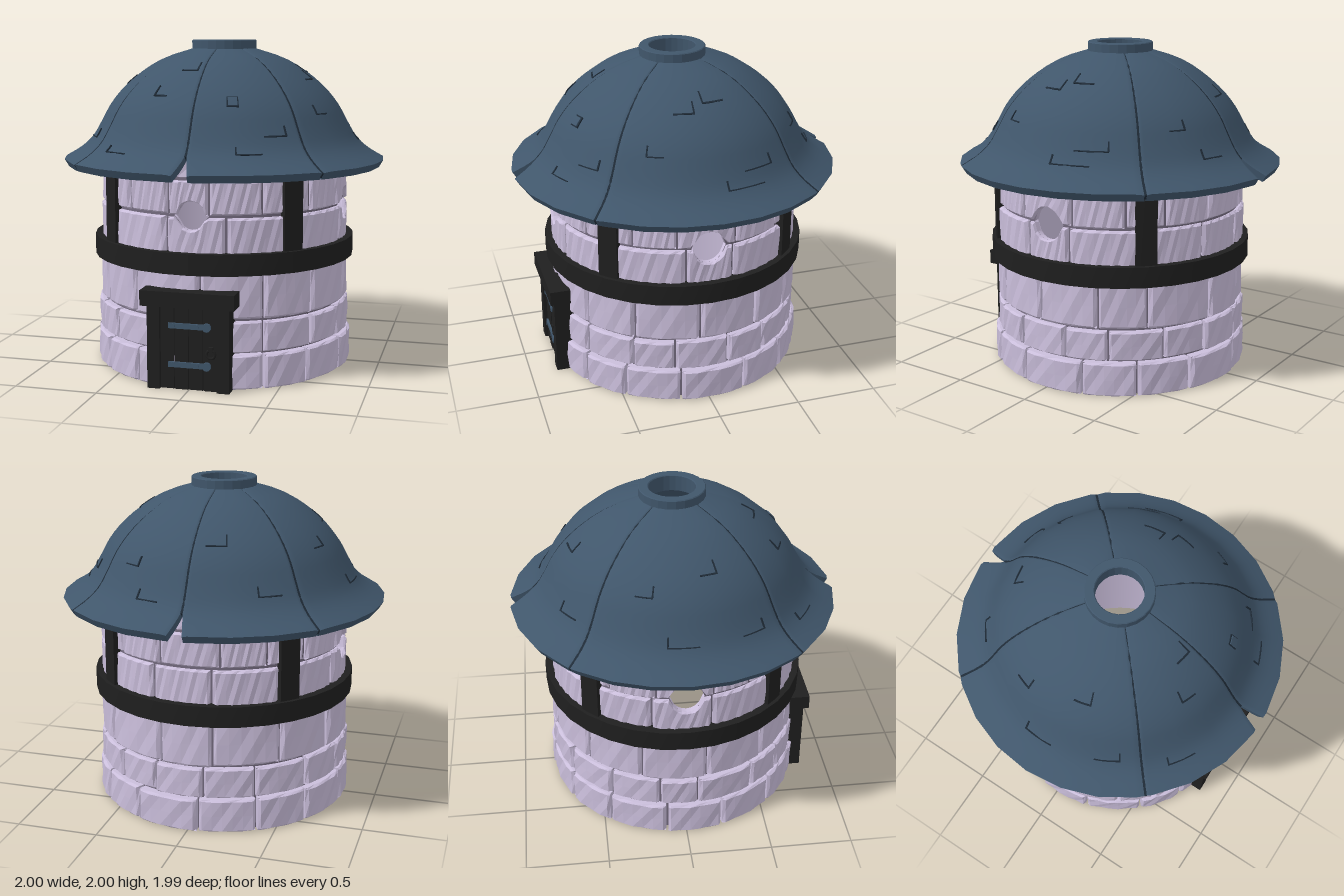
import * as THREE from 'three';

const mat = (name, color) => {
  const m = new THREE.MeshStandardMaterial({ color });
  m.name = name;
  return m;
};
const STONE = mat('lilac stone', 0xcabedb);
const MORTAR = mat('shaded mortar', 0x756c80);
const SLATE = mat('slate blue', 0x40566b);
const CRACK = mat('dark slate', 0x1f2b37);
const BLACK = mat('black timber', 0x1f1f1f);

let seed = 7;
const rnd = () => (seed = (seed * 16807) % 2147483647) / 2147483647;
const rad = THREE.MathUtils.degToRad;

// A box whose width runs round the y axis: map(u, v, w, edge, i, j) gives [angle, y, radius]
function bent(name, material, nx, ny, map, { inset = 0, flat = false } = {}) {
  let g = new THREE.BoxGeometry(1, 1, 1, nx, ny, 1);
  const p = g.attributes.position;
  const spread = (i, n) => (i === 0 ? 0 : i === n ? 1 : !inset ? i / n : inset + ((1 - 2 * inset) * (i - 1)) / (n - 2));
  for (let k = 0; k < p.count; k++) {
    const i = Math.round((p.getX(k) + 0.5) * nx), j = Math.round((p.getY(k) + 0.5) * ny);
    const edge = i === 0 || j === 0 || i === nx || j === ny;
    const [a, y, r] = map(spread(i, nx), spread(j, ny), p.getZ(k) + 0.5, edge, i, j);
    p.setXYZ(k, r * Math.sin(a), y, r * Math.cos(a));
  }
  if (flat) {
    const groups = g.groups;
    g = g.toNonIndexed();
    g.groups = groups;
  }
  g.computeVertexNormals();
  const m = new THREE.Mesh(g, material);
  m.name = name;
  return m;
}

function mesh(name, geometry, material, x = 0, y = 0, z = 0) {
  const m = new THREE.Mesh(geometry, material);
  m.name = name;
  m.position.set(x, y, z);
  return m;
}
const box = (name, w, h, d, material, x, y, z) => mesh(name, new THREE.BoxGeometry(w, h, d), material, x, y, z);

// Round windows at the front and both sides, centred on a brick joint
const WINDOW_Y = 1.01;
const windows = [[0, 0.085], [Math.PI / 2, 0.1], [-Math.PI / 2, 0.1]];
function opening(a) {
  let h = 0;
  for (const [wa, wr] of windows) {
    const dx = Math.atan2(Math.sin(a - wa), Math.cos(a - wa)) * 0.77;
    if (Math.abs(dx) < wr) h = Math.sqrt(wr * wr - dx * dx);
  }
  return h;
}

function createWall() {
  const wall = new THREE.Group();
  wall.name = 'wall';
  // Hollow core, split at window height
  const core = (name, lo, hi, mats) => wall.add(bent(name, mats, 180, 1,
    (u, v, w) => {
      const a = u * Math.PI * 2;
      return [a, v ? hi(a) : lo(a), w ? 0.745 : 0.72];
    }));
  core('lowerCore', () => 0, a => WINDOW_Y - opening(a), [MORTAR, MORTAR, STONE, SLATE, MORTAR, STONE]);
  core('upperCore', a => WINDOW_Y + opening(a), () => 1.36, [MORTAR, MORTAR, STONE, STONE, MORTAR, STONE]);

  // Brick courses: bottom, top, radius, bricks per ring, offset in bricks
  const courses = [
    [0, 0.21, 0.8, 14, 0.1], [0.21, 0.405, 0.785, 16, 0.35], [0.405, 0.69, 0.778, 13, 0],
    [0.76, WINDOW_Y, 0.77, 12, 0.5], [WINDOW_Y, 1.22, 0.765, 16, 0.5], [1.22, 1.36, 0.755, 14, 0.2],
  ];
  courses.forEach(([y0, y1, radius, n, offset], row) => {
    const joints = [];
    for (let i = 0; i < n; i++) joints.push(((i + offset + (rnd() - 0.5) * 0.3) / n) * Math.PI * 2);
    joints.push(joints[0] + Math.PI * 2);
    const mats = [STONE, STONE, STONE, row === 0 ? SLATE : STONE, STONE, STONE];
    for (let b = 0; b < n; b++) {
      const gap = 0.009, a0 = joints[b] + gap, a1 = joints[b + 1] - gap;
      const size = radius + (rnd() - 0.5) * 0.012, tilt = (rnd() - 0.5) * 0.012, phase = rnd() * 6;
      const lo = row ? y0 + 0.004 + rnd() * 0.006 : 0, hi = y1 - 0.004 - rnd() * 0.006;
      wall.add(bent('brick', mats, row === 3 || row === 4 ? 14 : 7, 4, (u, v, w, edge, i, j) => {
        const a = a0 + (a1 - a0) * u, cut = opening(a);
        const bottom = row === 4 && cut ? y0 + cut : lo;
        const top = row === 3 && cut ? y1 - cut : hi;
        const chip = 0.004 * Math.sin(i * 2.3 + j * 3.7 + phase);
        const r = w ? size + tilt * (v - 0.5) + chip - (edge ? 0.014 : 0) : 0.725;
        return [a, bottom + (top - bottom) * v, r];
      }, { inset: 0.05, flat: true }));
    }
  });
  // Dark panel on the inside of the back wall
  wall.add(mesh('innerPanel', new THREE.CircleGeometry(0.11, 16), BLACK, 0, WINDOW_Y, -0.705));
  return wall;
}

// Roof outline from the lip to the crown
const roofCurve = new THREE.CatmullRomCurve3([
  [1, 1.275], [0.9, 1.335], [0.83, 1.4], [0.77, 1.5], [0.715, 1.6], [0.635, 1.7], [0.52, 1.8], [0.38, 1.885], [0.17, 1.955],
].map(([r, y]) => new THREE.Vector3(r, y, 0)));

// Point on the roof, lifted out from its surface
function roofPoint(v, lift) {
  const p = roofCurve.getPoint(v), t = roofCurve.getTangent(v);
  return [p.x + t.y * lift, p.y - t.x * lift];
}

function createRoof() {
  const roof = new THREE.Group();
  roof.name = 'roof';
  const seams = [0, 48, 132, 180, 228, 312, 360];
  for (let s = 0; s < 6; s++) {
    const d0 = seams[s], d1 = seams[s + 1];
    // Notch at the front and back: the lip narrows next to those seams
    const notch = (deg, v) => (deg % 180 === 0 ? 0.042 * Math.max(0, 1 - v / 0.2) : 0) + 0.004;
    roof.add(bent('roofPanel', SLATE, d1 - d0 > 60 ? 8 : 5, 20, (u, v, w, edge, i) => {
      const a0 = rad(d0) + notch(d0, v), a1 = rad(d1) - notch(d1, v);
      const side = u === 0 || u === 1;
      const [r, y] = roofPoint(v, w ? (side ? -0.008 : 0) : -0.052);
      return [a0 + (a1 - a0) * u, y, r];
    }, { inset: 0.035 }));
    // Dark strip at the bottom of each seam
    const start = d0 % 180 === 0 ? 0.19 : 0;
    roof.add(bent('roofSeam', CRACK, 1, 18, (u, v, w) => {
      const [r, y] = roofPoint(start + (1 - start) * v, w ? -0.007 : -0.04);
      return [rad(d0) + ((u - 0.5) * 0.014) / r, y, r];
    }));
  }
  // Plates that follow the roof: angle, height along curve, width, length
  const plate = (name, material, deg, v0, width, dv, lift) => roof.add(bent(name, material, 4, 3, (u, v, w) => {
    const [r, y] = roofPoint(v0 + dv * v, w ? lift : -0.006);
    const mid = roofPoint(v0, 0)[0];
    return [rad(deg) + ((u - 0.5) * width) / mid, y, r];
  }));
  const cracks = [
    [-32, 0.17, 0.17], [-62, 0.27, 0.15], [-20, 0.6, 0.09], [-10, 0.78, 0.1], [24, 0.2, 0.15], [36, 0.33, 0.14],
    [66, 0.46, 0.1], [80, 0.7, 0.12], [104, 0.23, 0.24], [112, 0.33, 0.2], [100, 0.75, 0.13], [150, 0.45, 0.1],
    [164, 0.25, 0.14], [192, 0.62, 0.12], [215, 0.3, 0.14], [250, 0.55, 0.1], [268, 0.26, 0.18], [283, 0.66, 0.1],
  ];
  cracks.forEach(([deg, v, width], i) => {
    plate('roofCrack', CRACK, deg, v, width, 0.008, 0.003);
    const end = ((i % 2 ? 1 : -1) * width) / 2 / roofPoint(v, 0)[0];
    plate('roofCrack', CRACK, deg + THREE.MathUtils.radToDeg(end), v, 0.009, 0.07, 0.003);
  });
  plate('looseTileEdge', CRACK, 18.5, 0.535, 0.07, 0.068, 0.003);
  plate('looseTile', SLATE, 18.5, 0.543, 0.054, 0.052, 0.009);

  // Open ring on the crown
  const ring = [[0.14, 1.9], [0.2, 1.92], [0.2, 1.995], [0.195, 2], [0.145, 2], [0.14, 1.995], [0.14, 1.9]];
  const ringGeometry = new THREE.LatheGeometry(ring.map(([r, y]) => new THREE.Vector2(r, y)), 24).toNonIndexed();
  ringGeometry.computeVertexNormals();
  roof.add(mesh('crownRing', ringGeometry, SLATE));
  return roof;
}

function createTimber() {
  const timber = new THREE.Group();
  timber.name = 'timber';
  timber.add(bent('band', BLACK, 32, 1, (u, v, w) => [u * Math.PI * 2, 0.675 + 0.125 * v, w ? 0.815 : 0.735]));
  for (const deg of [45, 135, 225, 315]) {
    timber.add(bent('wallPost', BLACK, 2, 1,
      (u, v, w) => [rad(deg) + (u - 0.5) * 0.16, 0.78 + 0.54 * v, w ? 0.792 : 0.735]));
  }
  return timber;
}

function createDoor() {
  const door = new THREE.Group();
  door.name = 'door';
  door.add(box('lintel', 0.56, 0.09, 0.125, BLACK, 0, 0.54, 0.797));
  for (const s of [-1, 1]) door.add(box('doorPost', 0.075, 0.5, 0.13, BLACK, s * 0.208, 0.25, 0.768));
  for (let i = 0; i < 4; i++) {
    door.add(box('plank', 0.08, 0.49, 0.05, BLACK, (i - 1.5) * 0.086, 0.247, 0.787 + (i % 2) * 0.004));
  }
  door.add(box('plankBacking', 0.36, 0.49, 0.04, BLACK, 0, 0.247, 0.78));
  for (const y of [0.15, 0.38]) {
    door.add(box('hinge', 0.23, 0.032, 0.012, SLATE, -0.005, y, 0.821));
    for (const [x, r] of [[0.11, 0.026], [-0.09, 0.013], [0.05, 0.013]]) {
      const stud = mesh('hingeStud', new THREE.CylinderGeometry(r, r, 0.02, 10), SLATE, x, y, 0.823);
      stud.rotation.x = Math.PI / 2;
      door.add(stud);
    }
  }
  door.add(mesh('handle', new THREE.TorusGeometry(0.025, 0.008, 6, 14), BLACK, 0.135, 0.225, 0.825));
  door.add(box('handleMount', 0.025, 0.025, 0.025, BLACK, 0.135, 0.255, 0.822));
  return door;
}

export function createModel() {
  seed = 7;
  const tower = new THREE.Group();
  tower.name = 'tower';
  tower.add(createWall(), createRoof(), createTimber(), createDoor());
  return tower;
}
